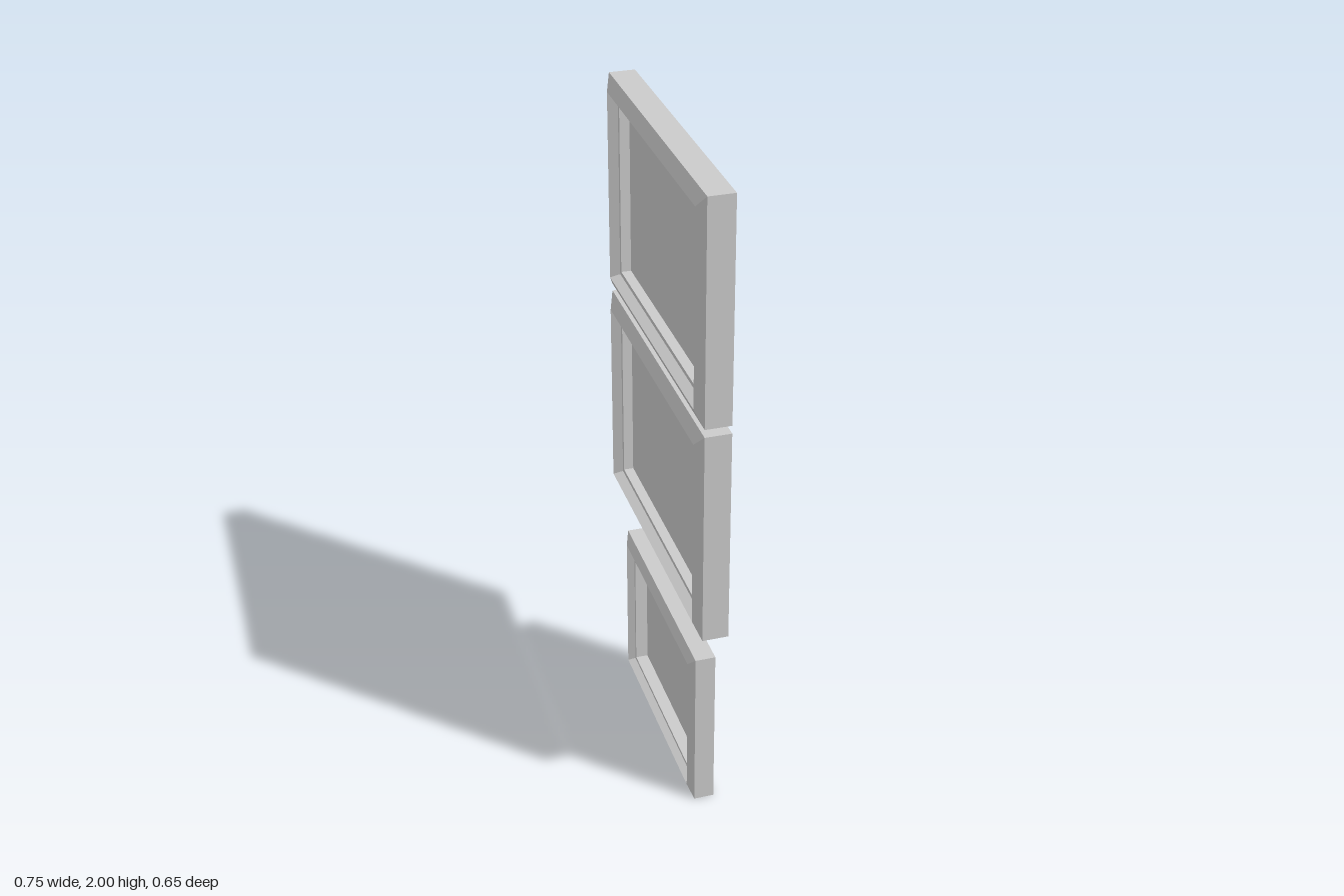
import * as THREE from 'three';

const material = new THREE.MeshStandardMaterial({ color: 0xcccccc, flatShading: true, side: THREE.DoubleSide });

// Mitred rectangular moulding swept through a profile of [inset, z] points
function mouldingGeometry(width, height, profile) {
  const rings = profile.map(([inset, z]) => {
    const x = width / 2 - inset, y = height / 2 - inset;
    return [[-x, -y, z], [x, -y, z], [x, y, z], [-x, y, z]];
  });
  const positions = [];
  for (let k = 0; k < rings.length - 1; k++) {
    for (let j = 0; j < 4; j++) {
      const n = (j + 1) % 4;
      const a = rings[k][j], b = rings[k][n], c = rings[k + 1][n], d = rings[k + 1][j];
      positions.push(...a, ...b, ...c, ...a, ...c, ...d);
    }
  }
  const geometry = new THREE.BufferGeometry();
  geometry.setAttribute('position', new THREE.Float32BufferAttribute(positions, 3));
  geometry.computeVertexNormals();
  return geometry;
}

// Open-backed picture frame with a recessed picture panel
function pictureFrame(name, scale, panelZ) {
  const width = 0.912 * scale, height = 0.666 * scale, inset = 0.068 * scale;
  const group = new THREE.Group();
  group.name = name;

  // side wall, outer bevel, inner bevel, ledge, recess wall
  const profile = [[0, -0.04], [0, 0.037], [0.042, 0.055], [0.055, 0.027], [0.068, 0.027]]
    .map(([i, z]) => [i * scale, z * scale]);
  profile.push([inset, panelZ]);
  const moulding = new THREE.Mesh(mouldingGeometry(width, height, profile), material);
  moulding.name = 'moulding';

  const panel = new THREE.Mesh(new THREE.PlaneGeometry(width - 2 * inset, height - 2 * inset), material);
  panel.name = 'picturePanel';
  panel.position.z = panelZ;

  group.add(moulding, panel);
  return group;
}

export function createModel() {
  const model = new THREE.Group();
  model.name = 'pictureFrames';

  const upper = pictureFrame('upperFrame', 1, -0.003);
  upper.position.y = 1.667;
  const middle = pictureFrame('middleFrame', 1, -0.003);
  middle.position.y = 0.977;
  const lower = pictureFrame('lowerFrame', 0.78, -0.017);
  lower.position.set(0.027, 0.26, 0.004);

  // all three hang on one wall turned about the vertical
  const wall = new THREE.Group();
  wall.name = 'frameColumn';
  wall.rotation.y = THREE.MathUtils.degToRad(-40);
  wall.add(upper, middle, lower);
  model.add(wall);
  return model;
}
